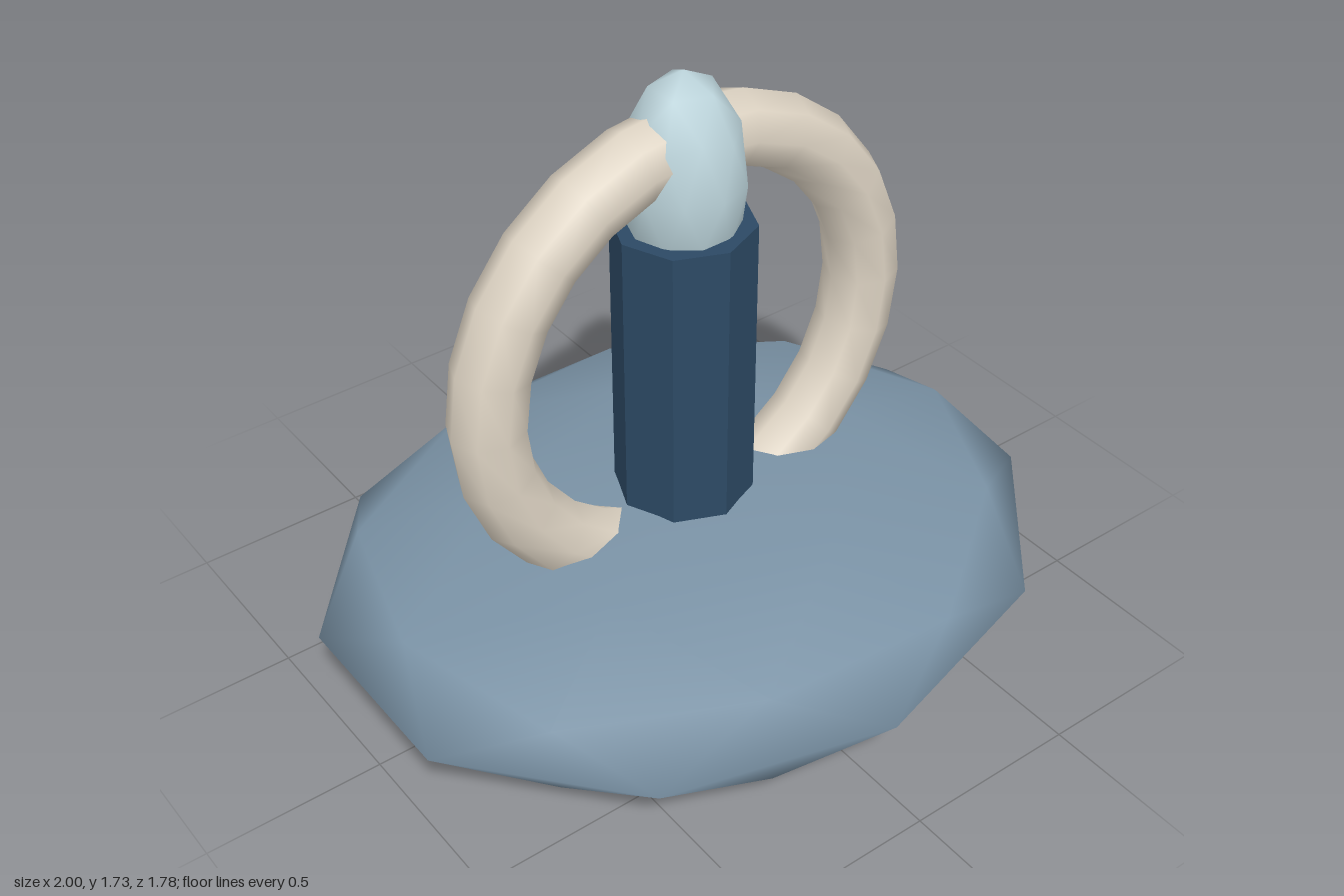
import * as THREE from 'three';

function material(name, color) {
  const m = new THREE.MeshStandardMaterial({ color });
  m.name = name;
  return m;
}

// Low-poly smooth ball: an icosahedron with its poles on y, subdivided once
function ballGeometry() {
  const h = Math.sqrt(0.2), r = 2 * h;
  const points = [0, 1, 0, 0, -1, 0];
  const faces = [];
  for (let k = 0; k < 5; k++) {
    const a = k * Math.PI * 0.4, b = a + Math.PI / 5;
    points.push(r * Math.cos(a), h, -r * Math.sin(a)); // upper ring
    points.push(r * Math.cos(b), -h, -r * Math.sin(b)); // lower ring
    const n = (k + 1) % 5;
    const u = 2 + 2 * k, l = u + 1, u2 = 2 + 2 * n, l2 = u2 + 1;
    faces.push(0, u, u2, u, l, u2, l, l2, u2, 1, l2, l);
  }
  return new THREE.PolyhedronGeometry(points, faces, 1, 1);
}

export function createModel() {
  const group = new THREE.Group();
  group.name = 'ringOrnament';

  const slate = material('slate blue', 0x7a92a5);
  const navy = material('navy', 0x2c4964);
  navy.flatShading = true;
  const cream = material('cream', 0xddd3c3);
  const paleBlue = material('pale blue', 0xbdd5dc);

  const add = (name, geometry, mat, y) => {
    const mesh = new THREE.Mesh(geometry, mat);
    mesh.name = name;
    mesh.position.y = y;
    group.add(mesh);
  };

  // Flattened base
  add('base', ballGeometry().scale(1.0515, 0.247, 0.89), slate, 0.247);

  // Octagonal column, sunk into the base
  add('column', new THREE.CylinderGeometry(0.19, 0.19, 1.06, 8), navy, 0.775);

  // Upright ring through the base and the cap
  add('ring', new THREE.TorusGeometry(0.607, 0.103, 8, 24), cream, 0.932);

  // Egg-shaped cap on the column
  add('cap', ballGeometry().scale(0.165, 0.295, 0.165), paleBlue, 1.43);

  return group;
}
